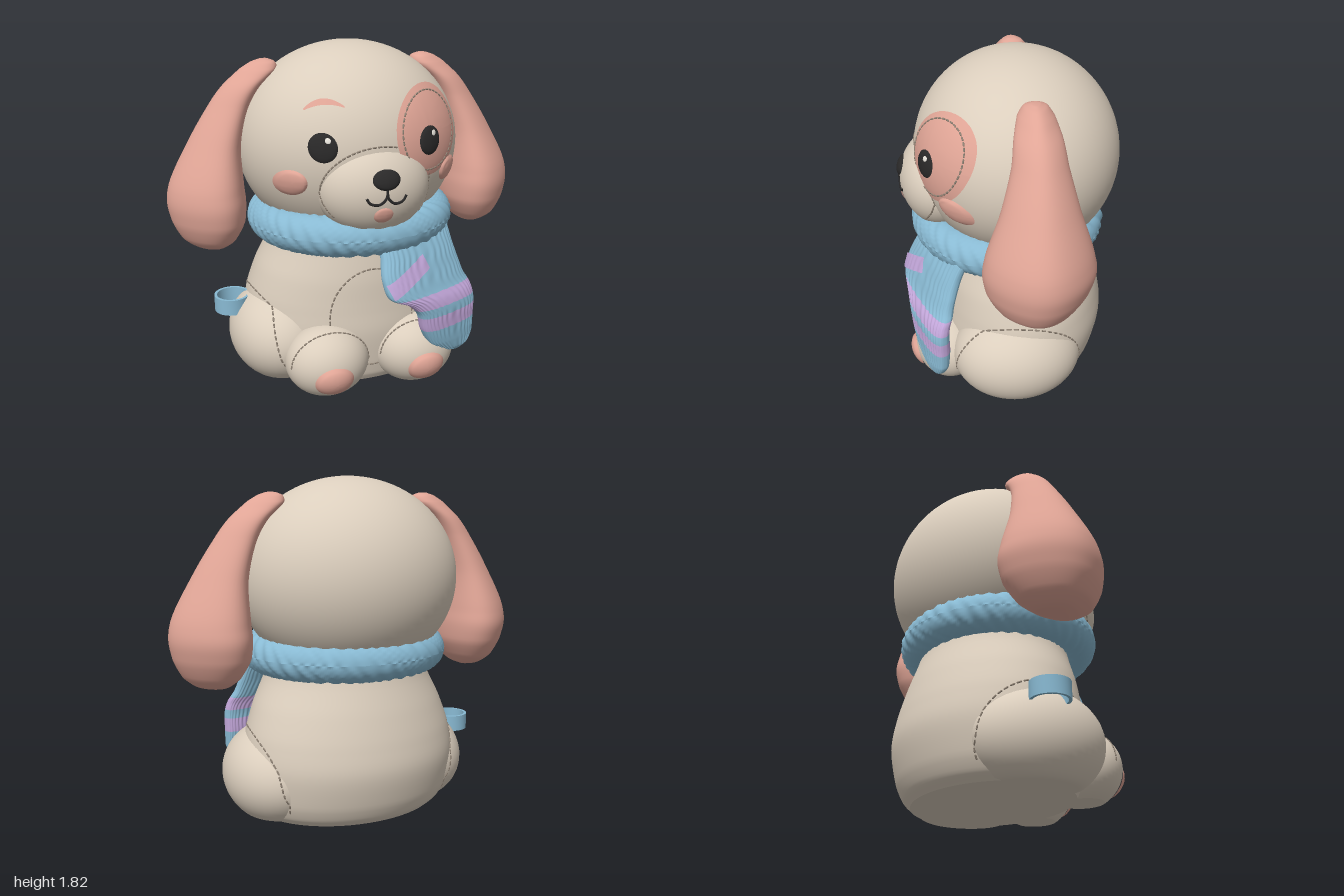
import * as THREE from 'three';
import { mergeGeometries, toCreasedNormals } from 'three/addons/utils/BufferGeometryUtils.js';

const V = (x, y, z = 0) => new THREE.Vector3(x, y, z);
const FORWARD = V(0, 0, -1);

function material(name, color) {
  const m = new THREE.MeshStandardMaterial({ color });
  m.name = name;
  return m;
}

// Ellipsoid baked in place, flattened where it would sink below the ground
function ellipsoid(x, y, z, rx, ry, rz, seg = 48) {
  const g = new THREE.SphereGeometry(1, seg, Math.round(seg * 0.7)).scale(rx, ry, rz).translate(x, y, z);
  const p = g.attributes.position;
  for (let i = 0; i < p.count; i++) p.setY(i, Math.max(0, p.getY(i)));
  return toCreasedNormals(g, 0.5);
}

// Smooth horizontal sections [y, cx, cz, rx, rz], listed bottom to top
function loft(stations, { rows = 40, seg = 48, yaw = 0, power = 1, shape = () => [1, 1], paint } = {}) {
  const centres = new THREE.CatmullRomCurve3(stations.map(s => V(s[1], s[0], s[2])));
  const radii = new THREE.CatmullRomCurve3(stations.map(s => V(s[3], s[4])));
  const pos = [], idx = [], g = new THREE.BufferGeometry();
  const pow = v => Math.sign(v) * Math.abs(v) ** power;
  for (let i = 0; i <= rows; i++) {
    const c = centres.getPoint(i / rows), r = radii.getPoint(i / rows);
    for (let j = 0; j < seg; j++) {
      const t = j / seg * Math.PI * 2, k = shape(t, c.y);
      const u = r.x * pow(Math.cos(t)) * k[0], v = r.y * pow(Math.sin(t)) * k[1];
      pos.push(c.x + u * Math.cos(yaw) + v * Math.sin(yaw), c.y, c.z - u * Math.sin(yaw) + v * Math.cos(yaw));
    }
    if (i === rows) continue;
    const start = idx.length;
    for (let j = 0; j < seg; j++) {
      const a = i * seg + j, b = i * seg + (j + 1) % seg;
      idx.push(a, a + seg, b, b, a + seg, b + seg);
    }
    if (paint) g.addGroup(start, idx.length - start, paint(c.y));
  }
  // End caps
  const capStart = idx.length, n = rows * seg, low = pos.length / 3;
  const a = centres.getPoint(0), b = centres.getPoint(1);
  pos.push(a.x, a.y, a.z, b.x, b.y, b.z);
  for (let j = 0; j < seg; j++) {
    const k = (j + 1) % seg;
    idx.push(low, j, k, low + 1, n + k, n + j);
  }
  if (paint) g.addGroup(capStart, idx.length - capStart, 0);
  g.setAttribute('position', new THREE.Float32BufferAttribute(pos, 3));
  g.setIndex(idx);
  g.computeVertexNormals();
  return g;
}

// Nearest surface point met by a ray
const caster = new THREE.Raycaster();
function hit(targets, origin, dir = FORWARD) {
  caster.set(origin, dir);
  return caster.intersectObjects(targets, false)[0]?.point;
}
const frontHit = (targets, x, y, lift = 0) => (hit(targets, V(x, y, 3)) ?? V(x, y, 0.45)).add(V(0, 0, lift));

// Lay a flat front-facing geometry onto a surface; lift(x, y) is its height above it
function drape(g, targets, lift) {
  const p = g.attributes.position;
  for (let i = 0; i < p.count; i++) {
    const q = frontHit(targets, p.getX(i), p.getY(i), lift(p.getX(i), p.getY(i)));
    p.setXYZ(i, q.x, q.y, q.z);
  }
  g.computeVertexNormals();
  return g;
}
function dome(x, y, rx, ry, targets, height) {
  const g = new THREE.RingGeometry(0.001, 1, 40, 7).scale(rx, ry, 1).translate(x, y, 0);
  return drape(g, targets, (px, py) =>
    0.004 + height * Math.sqrt(Math.max(0, 1 - ((px - x) / rx) ** 2 - ((py - y) / ry) ** 2)));
}

// Dashed seam: origin(t) gives ray starts along the path
function seam(origin, dashes, targets, dir = FORWARD) {
  const parts = [];
  for (let i = 0; i < dashes; i++) {
    const a = hit(targets, origin(i / dashes), dir), b = hit(targets, origin((i + 0.5) / dashes), dir);
    if (!a || !b || a.distanceTo(b) > 0.12) continue;
    const g = new THREE.CapsuleGeometry(0.005, a.distanceTo(b), 2, 6);
    g.applyQuaternion(new THREE.Quaternion().setFromUnitVectors(V(0, 1, 0), b.clone().sub(a).normalize()));
    parts.push(g.translate((a.x + b.x) / 2, (a.y + b.y) / 2, (a.z + b.z) / 2));
  }
  return mergeGeometries(parts);
}
const frontArc = (x, y, rx, ry, from = 0, to = 360) => t => {
  const a = THREE.MathUtils.degToRad(from + (to - from) * t);
  return V(x + rx * Math.cos(a), y + ry * Math.sin(a), 3);
};

export function createModel() {
  const fur = material('cream fur', 0xdbcebd), pink = material('soft pink', 0xe0a596);
  const blue = material('blue knit', 0x89bad3), purple = material('lilac', 0xc3a7da);
  const black = material('black', 0x2a2929), white = material('eye glint', 0xe9e5dc);
  const thread = material('seam thread', 0x918476);
  const model = new THREE.Group();
  model.name = 'plushPuppy';
  const add = (name, geometry, mat) => {
    const m = new THREE.Mesh(geometry, mat);
    m.name = name;
    model.add(m);
    return m;
  };

  // Body, head and muzzle
  const body = add('body', toCreasedNormals(loft([
    [0, 0, -0.035, 0.53, 0.4], [0.04, 0, -0.045, 0.565, 0.432], [0.12, 0, -0.055, 0.595, 0.46],
    [0.3, 0, -0.065, 0.61, 0.485], [0.45, 0, -0.06, 0.59, 0.47], [0.6, 0, -0.045, 0.54, 0.445],
    [0.76, 0, -0.03, 0.465, 0.405], [0.95, 0, -0.02, 0.42, 0.37]], { seg: 64 }), 0.7), fur);
  const head = add('head', ellipsoid(0, 1.28, -0.05, 0.61, 0.543, 0.55, 64), fur);
  const muzzle = add('muzzle', ellipsoid(0, 1.13, 0.36, 0.3, 0.255, 0.225), fur);

  // Eye patch
  const patch = add('eyePatch', dome(0.295, 1.4, 0.212, 0.228, [head], 0.008), pink);

  for (const s of [-1, 1]) {
    const side = s > 0 ? 'left' : 'right';
    // Drooping ears, fuller on the side toward the head
    add(side + 'Ear', loft([
      [0.73, 0.775, -0.05, 0.03, 0.04], [0.75, 0.78, -0.06, 0.085, 0.11], [0.8, 0.785, -0.06, 0.145, 0.19],
      [0.9, 0.785, -0.065, 0.195, 0.25], [1, 0.79, -0.07, 0.207, 0.267], [1.1, 0.785, -0.07, 0.195, 0.25],
      [1.3, 0.735, -0.075, 0.142, 0.182], [1.5, 0.645, -0.08, 0.107, 0.128], [1.6, 0.575, -0.08, 0.1, 0.112],
      [1.68, 0.485, -0.08, 0.1, 0.085], [1.72, 0.455, -0.08, 0.065, 0.055], [1.735, 0.45, -0.08, 0.025, 0.02],
    ].map(([y, x, ...rest]) => [y, x * s, ...rest]),
    { rows: 60, shape: t => [1, 1 - 0.28 * s * Math.cos(t)] }), pink);

    // Haunches and feet
    const thigh = add(side + 'Thigh', ellipsoid(s * 0.42, 0.215, -0.005, 0.29, 0.278, 0.36), fur);
    const foot = add(side + 'Foot', ellipsoid(s * 0.25, 0.17, 0.36, 0.23, 0.2, 0.2), fur);
    add(side + 'FootPad', dome(s * 0.26, 0.125, 0.105, 0.088, [foot], 0.028), pink);
    add(side + 'FootSeam', seam(frontArc(s * 0.25, 0.17, 0.215, 0.185, 0, 180), 24, [foot]), thread);
    add(side + 'ThighSeam', seam(t => {
      const a = Math.PI * (1.25 * t - 0.12);
      return V(s * 3, 0.19 + 0.295 * Math.sin(a), 0.345 * Math.cos(a) - 0.005);
    }, 36, [thigh, body], V(-s, 0, 0)), thread);

    // Eyes and cheeks
    const eye = add(side + 'Eye', dome(s * 0.28, 1.36, 0.067, 0.073, [head, patch], 0.013), black);
    add(side + 'EyeGlint', dome(s * 0.28 + 0.02, 1.398, 0.014, 0.014, [eye], 0.003), white);
    add(side + 'Cheek', dome(s > 0 ? 0.443 : -0.422, 1.17, 0.073, 0.07, [head, patch], 0.028), pink);

    // Half of the smile
    const smile = [[0, 1.17], [0.004, 1.125], [0.04, 1.092], [0.085, 1.1], [0.104, 1.128]]
      .map(([x, y]) => frontHit([muzzle], s * x, y, 0.001));
    add(side + 'Mouth', new THREE.TubeGeometry(new THREE.CatmullRomCurve3(smile), 24, 0.0075, 6), black);
  }

  // Nose, tongue and brow
  add('nose', dome(0, 1.212, 0.072, 0.05, [muzzle], 0.018), black);
  add('tongue', dome(-0.012, 1.03, 0.05, 0.043, [muzzle], 0.01), pink);
  const brow = new THREE.PlaneGeometry(2, 2, 24, 4), b = brow.attributes.position;
  for (let i = 0; i < b.count; i++) {
    const t = b.getX(i), v = b.getY(i);
    b.setXY(i, -0.255 + 0.092 * t, 1.543 + 0.008 * t + 0.03 * (1 - t * t) + 0.014 * v * (1 - 0.7 * t * t));
  }
  add('brow', drape(brow, [head], () => 0.008), pink);

  // Dashed seams on the front
  add('patchSeam', seam(frontArc(0.295, 1.4, 0.178, 0.195), 44, [patch, head]), thread);
  add('muzzleSeam', seam(frontArc(0, 1.14, 0.293, 0.218, -40, 220), 48, [muzzle, head]), thread);
  add('tummySeam', seam(frontArc(0, 0.39, 0.235, 0.28), 50, [body]), thread);

  // Scarf collar with slanted knit grooves
  const collar = new THREE.TorusGeometry(1, 0.1, 36, 360), p = collar.attributes.position, uv = collar.attributes.uv;
  for (let i = 0; i < p.count; i++) {
    const u = uv.getX(i) * Math.PI * 2, v = uv.getY(i) * Math.PI * 2;
    const knit = 0.107 + 0.005 * Math.sin(48 * u + 9 * v + 2 * Math.sin(7 * u + 3 * v));
    const c = knit * Math.cos(v);
    p.setXYZ(i, (0.465 + c) * Math.cos(u), 0.88 + knit * Math.sin(v), -(0.425 + c) * Math.sin(u));
  }
  collar.computeVertexNormals();
  add('scarfCollar', collar, blue);

  // Hanging ribbed scarf end with two lilac bands, leaning out from under the collar
  const end = add('scarfEnd', loft([
    [0.165, 0.465, 0.46, 0.03, 0.02], [0.19, 0.455, 0.46, 0.1, 0.04], [0.25, 0.43, 0.465, 0.16, 0.052],
    [0.35, 0.405, 0.47, 0.19, 0.06], [0.45, 0.39, 0.475, 0.205, 0.06], [0.51, 0.355, 0.475, 0.23, 0.06],
    [0.57, 0.285, 0.47, 0.275, 0.06], [0.66, 0.255, 0.445, 0.27, 0.06], [0.76, 0.245, 0.405, 0.25, 0.06],
    [0.85, 0.24, 0.36, 0.24, 0.055]], {
    rows: 80, seg: 180, yaw: 0.37, power: 0.75,
    shape: (t, y) => [1, 1 + 0.05 * Math.sin(36 * t + 0.5 * Math.sin(60 * y))],
    paint: y => (y > 0.47 && y < 0.55) || (y > 0.335 && y < 0.42) ? 1 : 0,
  }), [blue, purple]);
  const label = new THREE.PlaneGeometry(0.26, 0.085, 20, 6).rotateZ(0.45).translate(0.145, 0.665, 0);
  add('scarfLabel', drape(label, [end], () => 0.009), purple);

  // Ribbon loop on the right hip
  const loop = new THREE.LatheGeometry(
    [[0.085, 0.34], [0.1, 0.34], [0.1, 0.43], [0.085, 0.43], [0.085, 0.34]].map(q => new THREE.Vector2(...q)), 32);
  add('ribbonLoop', toCreasedNormals(loop.translate(-0.68, 0, -0.06), 0.6), blue);

  return model;
}
